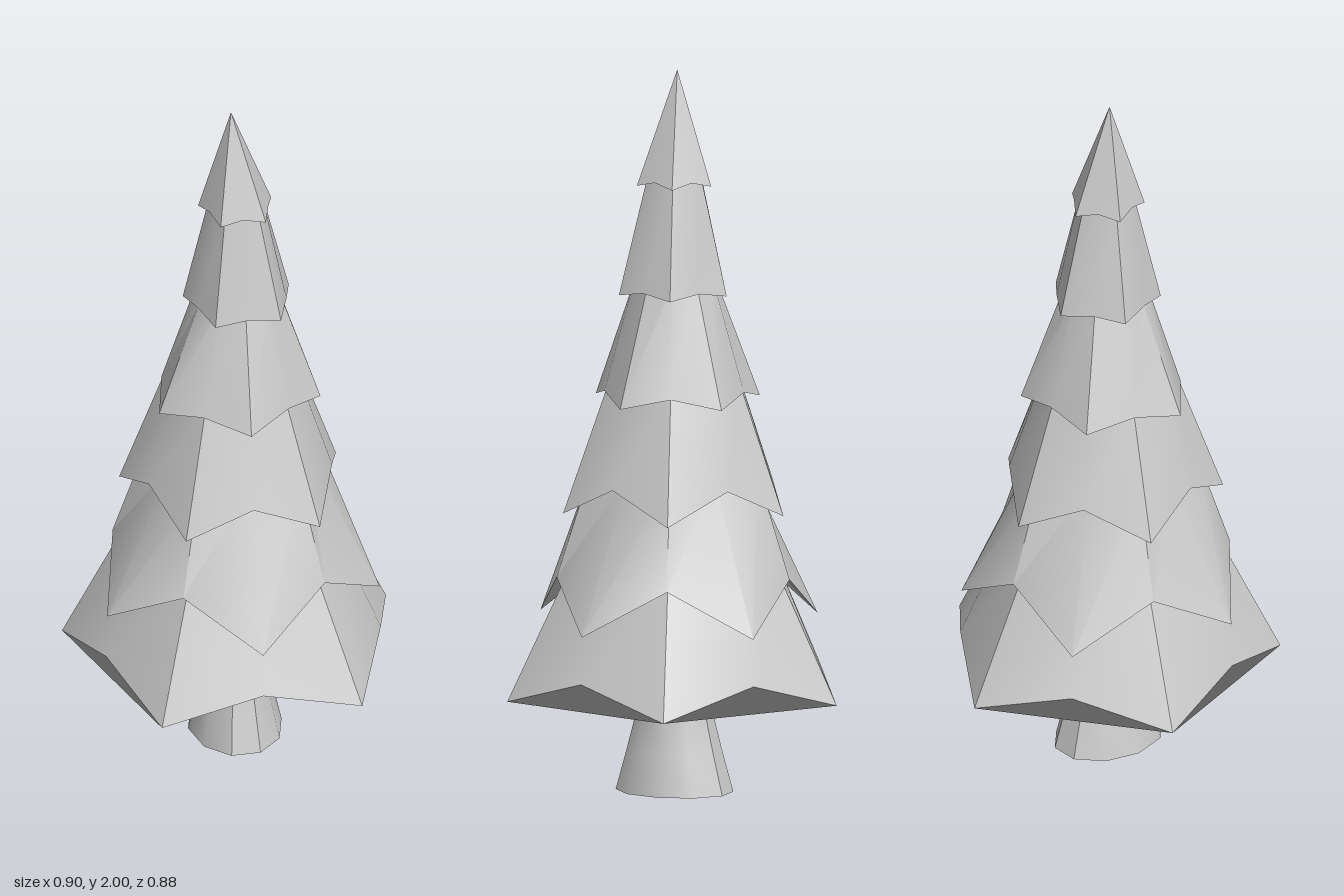
import * as THREE from 'three';
import { toCreasedNormals } from 'three/addons/utils/BufferGeometryUtils.js';

const SIDES = 10;
const material = new THREE.MeshStandardMaterial({ color: 0xcccccc });

// Ring of ten corners; radius and height alternate between tips and notches.
function ring(tip, notch, shift, x) {
  return Array.from({ length: SIDES }, (_, i) => {
    const [r, y] = (i + shift) % 2 ? notch : tip;
    const a = Math.PI + (i * Math.PI * 2) / SIDES;
    return [x + Math.sin(a) * r, y, 0.034 + Math.cos(a) * r];
  });
}

// Triangles joining two rings, facing right of the way from lower to upper.
function band(from, to) {
  return from.flatMap((p, i) => {
    const j = (i + 1) % SIDES;
    return [p, from[j], to[j], p, to[j], to[i]];
  });
}

function addMesh(parent, name, corners) {
  const geometry = new THREE.BufferGeometry();
  geometry.setAttribute('position', new THREE.Float32BufferAttribute(corners.flat(), 3));
  const mesh = new THREE.Mesh(toCreasedNormals(geometry, 0.6), material);
  mesh.name = name;
  parent.add(mesh);
  return mesh;
}

export function createModel() {
  const model = new THREE.Group();
  model.name = 'pineTree';

  // flared trunk, slightly deeper than wide
  const profile = [[0, 0.005], [0.13, 0.005], [0.105, 0.12], [0.079, 0.25], [0.07, 0.36]];
  const trunkGeometry = new THREE.LatheGeometry(
    profile.map(([r, y]) => new THREE.Vector2(r, y)), SIDES);
  trunkGeometry.rotateY(Math.PI / SIDES).scale(1, 1, 1.27);
  const trunk = new THREE.Mesh(toCreasedNormals(trunkGeometry, 0.6), material);
  trunk.name = 'trunk';
  trunk.position.z = 0.038;
  model.add(trunk);

  // tiers from bottom to top: [radius, height] of tips and notches at the hem,
  // then height and radii (below tips, below notches) of the upper end
  const tiers = [
    { shift: 0, tip: [0.474, 0.27], notch: [0.402, 0.35], topY: 0.64, topR: [0.295, 0.28] },
    { shift: 1, tip: [0.399, 0.48], notch: [0.335, 0.61], topY: 0.9, topR: [0.2, 0.24] },
    { shift: 0, tip: [0.317, 0.785], notch: [0.268, 0.87], topY: 1.14, topR: [0.19, 0.18] },
    { shift: 1, tip: [0.236, 1.09], notch: [0.201, 1.12], topY: 1.42, topR: [0.115, 0.115], topX: 0.008 },
    { shift: 0, x: 0.013, tip: [0.155, 1.385], notch: [0.13, 1.4], topY: 1.71, topR: [0.077, 0.073], topX: 0.007 },
    { shift: 0, x: 0.007, tip: [0.107, 1.685], notch: [0.086, 1.7], topY: 2, topR: [0, 0], topX: -0.01 },
  ];
  let below = null;
  tiers.forEach(({ shift, x = 0, tip, notch, topY, topR, topX = 0 }, i) => {
    const hem = ring(tip, notch, shift, x);
    const top = ring([topR[0], topY], [topR[1], topY], shift, topX);
    const tier = new THREE.Group();
    tier.name = `branchTier${i + 1}`;
    model.add(tier);
    addMesh(tier, 'branches', band(hem, top));

    if (below) {
      // overhang, folding back up to the tier beneath
      addMesh(tier, 'overhang', band(below, hem));
    } else {
      // canopy floor: a triangle under four notches, then a fan from the front notch
      const fan = [[2, 1, 0], [4, 3, 2], [8, 7, 6], [0, 9, 8],
        [5, 8, 6], [5, 0, 8], [5, 2, 0], [5, 4, 2]];
      const floor = addMesh(tier, 'underside', fan.flat().map((k) => hem[k]));
      const normal = floor.geometry.attributes.normal;
      for (let n = 0; n < normal.count; n++) normal.setXYZ(n, 0, -1, 0);
    }
    below = top;
  });
  return model;
}
